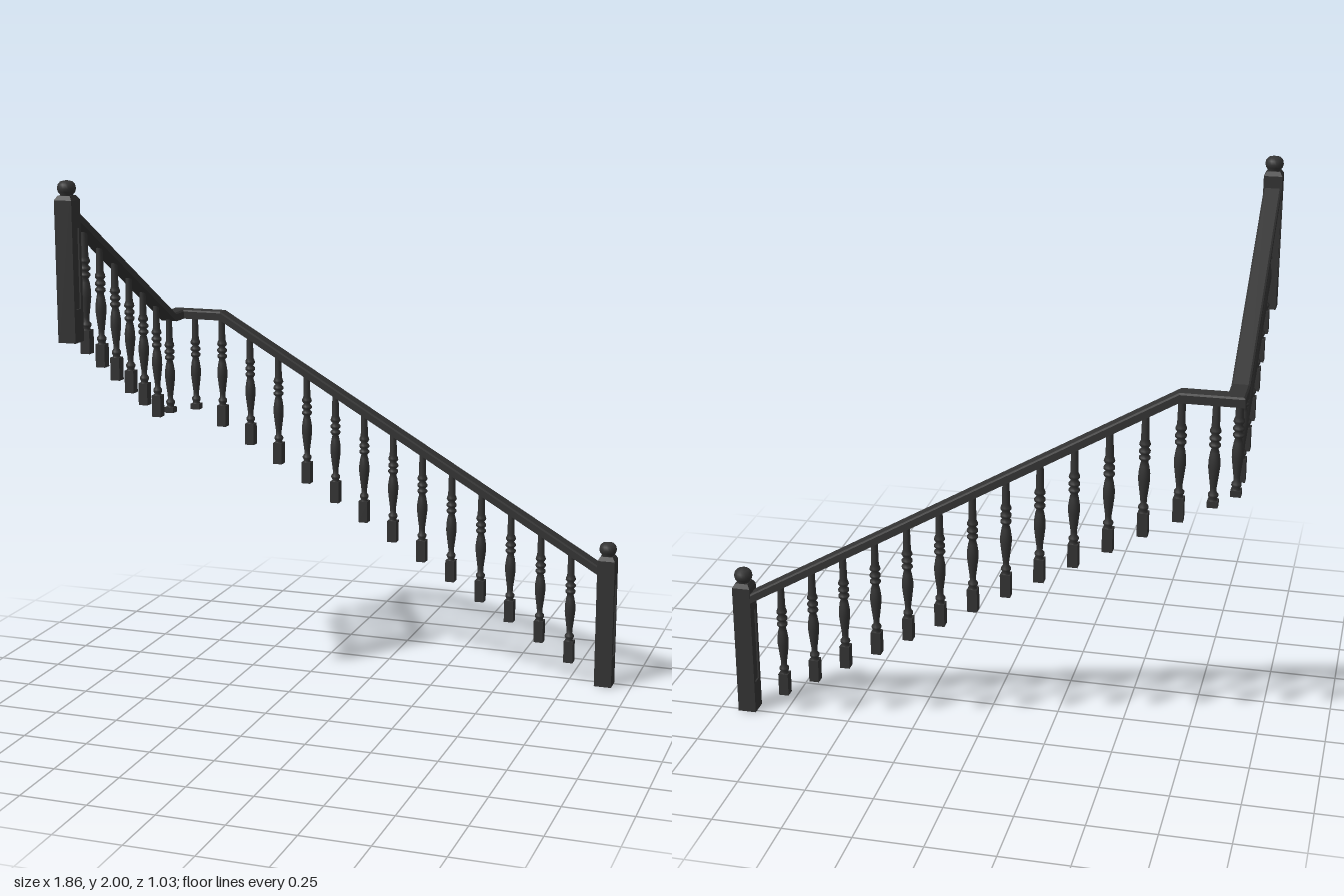
import * as THREE from 'three';

const mat = new THREE.MeshStandardMaterial({ color: 0x333333 });
const X0 = -0.895, Z0 = -0.48;          // corner of the landing
const XP = 0.893, ZP = 0.483;           // newel post positions
const XB = -0.705, ZB = -0.375;         // where each flight starts to slope
const RAIL_Y = 1.386, SLOPE = 0.585;

function add(parent, geo, name, x = 0, y = 0, z = 0) {
  const m = new THREE.Mesh(geo, mat);
  m.name = name;
  m.position.set(x, y, z);
  parent.add(m);
  return m;
}

// Square newel post with recessed side panels, pyramid shoulder and turned knob
function newelPost(name, x, y, z) {
  const g = new THREE.Group();
  g.name = name;
  g.position.set(x, y, z);
  const w = 0.068, h = 0.51, d = 0.006;
  add(g, new THREE.BoxGeometry(w - 2 * d, h, w), 'postCore', 0, h / 2, 0);

  const face = new THREE.Shape();
  face.moveTo(-w / 2, 0);
  face.lineTo(w / 2, 0);
  face.lineTo(w / 2, h);
  face.lineTo(-w / 2, h);
  const hole = new THREE.Path();
  hole.moveTo(-0.019, 0.12);
  hole.lineTo(-0.019, 0.41);
  hole.lineTo(0.019, 0.41);
  hole.lineTo(0.019, 0.12);
  face.holes.push(hole);
  const frame = new THREE.ExtrudeGeometry(face, { depth: d, bevelEnabled: false });
  for (const s of [-1, 1]) {
    add(g, frame, 'panelFrame', s * (w / 2 - d), 0, 0).rotation.y = s * Math.PI / 2;
  }

  const shoulder = new THREE.CylinderGeometry(0.024 * Math.SQRT2, w / Math.SQRT2, 0.016, 4).rotateY(Math.PI / 4).toNonIndexed();
  shoulder.computeVertexNormals();
  add(g, shoulder, 'postShoulder', 0, h + 0.008, 0);

  const knob = [[0.024, 0.52], [0.023, 0.529], [0.031, 0.539], [0.034, 0.551],
    [0.031, 0.565], [0.022, 0.575], [0, 0.58]].map(p => new THREE.Vector2(...p));
  add(g, new THREE.LatheGeometry(knob, 20), 'postKnob');
  return g;
}

// Turned baluster hanging from the rail; the square foot takes up the spare length
const turning = [
  [0.017, 0.372], [0.013, 0.364], [0.018, 0.354], [0.018, 0.347], [0.011, 0.338],
  [0.0115, 0.322], [0.016, 0.288], [0.0205, 0.25], [0.0205, 0.225], [0.016, 0.195],
  [0.012, 0.181], [0.02, 0.171], [0.02, 0.164], [0.012, 0.157], [0.02, 0.148],
  [0.02, 0.14], [0.012, 0.131], [0.02, 0.12], [0.019, 0.113], [0.0145, 0.102], [0.012, 0],
].map(([r, d]) => new THREE.Vector2(r, -d));
const turnedGeo = new THREE.LatheGeometry(turning, 14);

function baluster(x, y, z, length) {
  const g = new THREE.Group();
  g.name = 'baluster';
  g.position.set(x, y, z);
  add(g, turnedGeo, 'turnedShaft');
  const foot = length - 0.37;
  add(g, new THREE.BoxGeometry(0.037, foot, 0.037), 'squareFoot', 0, -0.37 - foot / 2, 0);
  return g;
}

// Handrail: one chamfered section swept along the path, mitred at the corner
function railGeometry() {
  const a = 0.032, c = 0.006, h = 0.0175;
  const section = [[-a, -h], [a, -h], [a, h - c], [a - c, h], [-a + c, h], [-a, h - c]];
  // x, y, z of the path and the sideways direction at each point
  const path = [
    [0.88, RAIL_Y - SLOPE * (0.88 - XB), Z0, 0, -1],
    [XB, RAIL_Y, Z0, 0, -1],
    [X0, RAIL_Y, Z0, -1, -1],
    [X0, RAIL_Y, ZB, -1, 0],
    [X0, RAIL_Y + SLOPE * (0.465 - ZB), 0.465, -1, 0],
  ];
  const pos = [], idx = [], n = section.length;
  path.forEach(([x, y, z, sx, sz], i) => {
    section.forEach(([s, v], j) => {
      pos.push(x + sx * s, y + v, z + sz * s);
      if (i === path.length - 1) return;
      const p = i * n + j, q = i * n + (j + 1) % n;
      idx.push(p, p + n, q + n, p, q + n, q);
    });
  });
  const indexed = new THREE.BufferGeometry();
  indexed.setAttribute('position', new THREE.Float32BufferAttribute(pos, 3));
  indexed.setIndex(idx);
  const geo = indexed.toNonIndexed();
  geo.computeVertexNormals();
  return geo;
}

export function createModel() {
  const model = new THREE.Group();
  model.name = 'stairRailing';

  model.add(newelPost('lowerNewelPost', XP, 0, Z0));
  model.add(newelPost('upperNewelPost', X0, 1.42, ZP));
  add(model, railGeometry(), 'handrail');

  const step = 0.1217;
  // Lower flight and landing
  model.add(baluster(-0.828, RAIL_Y, Z0, 0.393));
  for (let i = 0; i < 13; i++) {
    const x = -0.711 + i * step;
    const y = RAIL_Y - SLOPE * Math.max(0, x - XB);
    model.add(baluster(x, y, Z0, 0.457));
  }
  // Upper flight
  for (let i = 0; i < 7; i++) {
    const z = -0.372 + i * step;
    const y = RAIL_Y + SLOPE * (z - ZB);
    model.add(baluster(X0, y, z, i === 0 ? 0.393 : 0.457));
  }
  return model;
}
